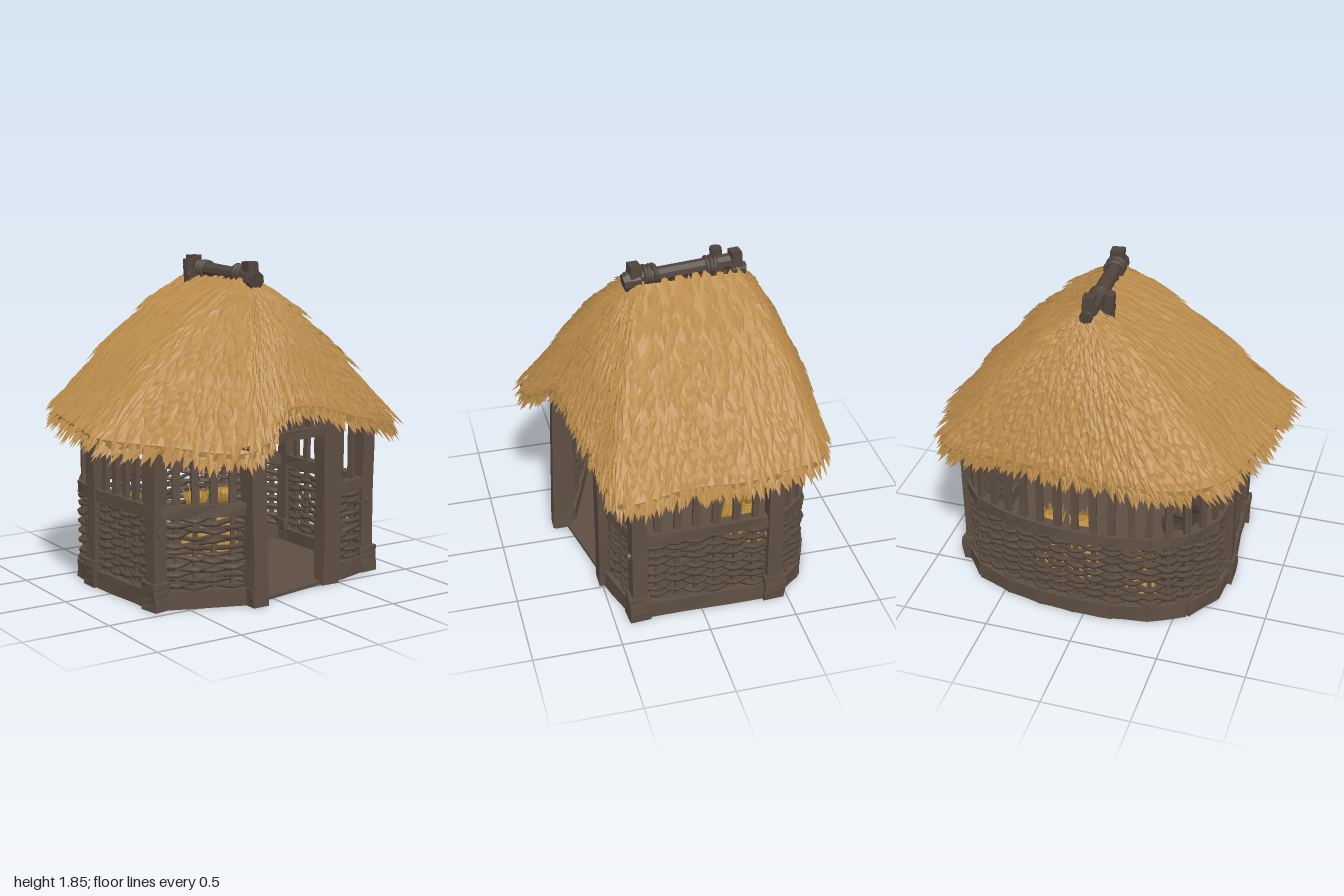
import * as THREE from 'three';
import { mergeGeometries } from 'three/addons/utils/BufferGeometryUtils.js';

const V = (x, y, z) => new THREE.Vector3(x, y, z);

export function createModel() {
  const hut = new THREE.Group();
  hut.name = 'thatchedHut';
  let seed = 7;
  const rand = (a = 0, b = 1) => {
    seed = (seed * 16807) % 2147483647;
    return a + (b - a) * (seed / 2147483647);
  };
  const mat = (name, color, side = THREE.FrontSide) => {
    const m = new THREE.MeshStandardMaterial({ color, side });
    m.name = name;
    return m;
  };
  const wood = mat('timber', 0x5f4f43);
  const darkWood = mat('ridgeWood', 0x51453d);
  const wicker = mat('wicker', 0x5a4b3f);
  const thatch = mat('thatch', 0xb88a4a, THREE.DoubleSide);
  const ceiling = mat('ceiling', 0x54463b, THREE.DoubleSide);
  const straw = mat('straw', 0xc3923f, THREE.DoubleSide);
  const brush = mat('driedBrush', 0x4c3f36, THREE.DoubleSide);

  const add = (name, geo, material, parent = hut) => {
    const m = new THREE.Mesh(geo, material);
    m.name = name;
    parent.add(m);
    return m;
  };
  // Hand-hewn look: nudge vertices by a rule of position, then facet
  const hewn = (geo, amt) => {
    const g = geo.toNonIndexed(), p = g.attributes.position, ph = rand(0, 6);
    for (let i = 0; i < p.count; i++) {
      const x = p.getX(i), y = p.getY(i), z = p.getZ(i);
      p.setXYZ(i, x + amt * Math.sin(y * 31 + z * 17 + ph), y, z + amt * Math.sin(y * 23 + x * 19 + ph * 2));
    }
    g.computeVertexNormals();
    return g;
  };
  // Upright timber
  const post = (name, x, z, y0, y1, w, d = w, angle = 0, parent = hut, material = wood) => {
    const m = add(name, hewn(new THREE.BoxGeometry(w, y1 - y0, d, 1, 4, 1), w * 0.05), material, parent);
    m.position.set(x, (y0 + y1) / 2, z);
    m.rotation.y = angle;
    return m;
  };
  // Timber laid between two points
  const beam = (name, a, b, w, h, parent = hut) => {
    const m = add(name, hewn(new THREE.BoxGeometry(w, h, a.distanceTo(b) + 0.01, 1, 1, 3), 0.004), wood, parent);
    m.position.copy(a).add(b).multiplyScalar(0.5);
    m.lookAt(b);
  };
  const log = (name, a, b, r, material = darkWood) => {
    const m = add(name, hewn(new THREE.CylinderGeometry(r, r * 1.05, a.distanceTo(b), 9, 3), r * 0.08), material);
    m.position.copy(a).add(b).multiplyScalar(0.5);
    m.quaternion.setFromUnitVectors(V(0, 1, 0), b.clone().sub(a).normalize());
  };
  // Leaf-shaped tuft of straw, folded along the middle
  const blade = (out, root, tip, side, up, w, lift) => {
    const foot = root.clone().lerp(tip, 0.4);
    const a = foot.clone().addScaledVector(side, -w), b = foot.clone().addScaledVector(side, w);
    const m = foot.clone().lerp(tip, 0.25).addScaledVector(up, lift);
    for (const q of [root, a, m, root, m, b, a, tip, m, m, tip, b]) out.push(q.x, q.y, q.z);
  };
  const facets = (arr) => {
    const g = new THREE.BufferGeometry();
    g.setAttribute('position', new THREE.Float32BufferAttribute(arr, 3));
    g.computeVertexNormals();
    return g;
  };

  // ---- Walls: sill, woven lower panel, rail, open slats, top plate ----
  const backPts = [[0.79, -0.42], [0.66, -0.58], [0.35, -0.69], [-0.1, -0.72], [-0.48, -0.63], [-0.65, -0.44], [-0.69, -0.2]];
  const wall = (name, pts) => {
    const g = new THREE.Group();
    g.name = name;
    hut.add(g);
    const curve = new THREE.CatmullRomCurve3(pts.map(([x, z]) => V(x, 0, z)));
    const n = Math.round(curve.getLength() / 0.105);
    const at = (u, y) => curve.getPointAt(u).setY(y);
    const out = (u) => { const t = curve.getTangentAt(u); return V(t.z, 0, -t.x); };
    const pieces = pts.length > 2 ? 9 : 1;
    for (let i = 0; i < pieces; i++) {
      const u = i / pieces, v = (i + 1) / pieces;
      beam('sill', at(u, 0.05), at(v, 0.05), 0.085, 0.1, g);
      beam('rail', at(u, 0.535), at(v, 0.535), 0.065, 0.07, g);
      beam('topPlate', at(u, 0.985), at(v, 0.985), 0.05, 0.06, g);
    }
    for (let i = 1; i < n; i++) {
      const p = at(i / n, 0), t = curve.getTangentAt(i / n), ang = Math.atan2(-t.z, t.x);
      post('stake', p.x, p.z, 0.08, 0.52, 0.026, 0.026, ang, g);
      post('slat', p.x, p.z, 0.55, 1.0, rand(0.034, 0.044), 0.025, ang, g).rotation.z = rand(-0.02, 0.02);
    }
    const strands = [];
    for (let k = 0; k < 15; k++) {
      const path = [];
      for (let i = 0; i <= n; i++) {
        const u = i / n;
        path.push(at(u, 0.11 + k * 0.0275 + rand(-0.014, 0.014)).addScaledVector(out(u), ((i + k) % 2 ? 1 : -1) * rand(0.016, 0.026)));
      }
      strands.push(new THREE.TubeGeometry(new THREE.CatmullRomCurve3(path), n * 4, rand(0.012, 0.017), 5));
    }
    add('wovenPanel', mergeGeometries(strands), wicker, g);
  };
  wall('frontLeftPanel', [[-0.64, 0.39], [-0.15, 0.57]]);
  wall('frontRightPanel', [[0.44, 0.46], [0.78, 0.36]]);
  wall('rightWall', [[0.78, 0.36], [0.78, -0.42]]);
  wall('leftWall', [[-0.69, -0.2], [-0.64, 0.39]]);
  wall('backWall', backPts);

  // Floor follows the wall plan
  const back = new THREE.CatmullRomCurve3(backPts.map(([x, z]) => V(x, 0, z))).getSpacedPoints(20).map((p) => new THREE.Vector2(p.x, -p.z));
  const plan = [[-0.64, 0.39], [-0.15, 0.6], [0.44, 0.48], [0.78, 0.36]].map(([x, z]) => new THREE.Vector2(x, -z));
  const floor = new THREE.ExtrudeGeometry(new THREE.Shape([...plan, ...back]), { depth: 0.02, bevelEnabled: false });
  add('floor', floor.rotateX(-Math.PI / 2), wood);

  // Corner posts on blocks, with pegs
  for (const [x, z, a] of [[-0.645, 0.39, 0.1], [-0.69, -0.2, 0], [0.785, 0.36, 0], [0.785, -0.42, 0]]) {
    post('cornerPost', x, z, 0, 1.03, 0.085, 0.085, a);
    post('postBlock', x, z, 0, 0.155, 0.115, 0.12, a);
    log('peg', V(x, 0.43, z), V(x, 0.43, z + 0.06), 0.02, wood);
  }

  // Doorway
  post('doorPostLeft', -0.15, 0.595, 0, 1.06, 0.09, 0.12).rotation.x = -0.03;
  post('doorFootLeft', -0.15, 0.62, 0, 0.1, 0.1, 0.1);
  post('doorPostRight', 0.44, 0.475, 0, 1.08, 0.11, 0.09);
  beam('lintel', V(-0.13, 0.9, 0.56), V(0.44, 0.9, 0.47), 0.06, 0.055);
  beam('upperLintel', V(-0.13, 1.07, 0.55), V(0.44, 1.07, 0.46), 0.05, 0.05);
  for (let i = 1; i < 8; i++) post('transomSlat', -0.13 + i * 0.071, 0.56 - i * 0.011, 0.92, 1.08, 0.03, 0.025);
  beam('frontRafter', V(-0.13, 1.02, 0.5), V(-0.33, 0.89, 0.76), 0.06, 0.07);
  beam('leftRafter', V(-0.6, 1.03, 0.36), V(-0.86, 0.89, 0.33), 0.06, 0.06);

  // ---- Thatched roof ----
  const eave = new THREE.CatmullRomCurve3([
    [-0.48, 0.97, -0.8], [0, 0.98, -0.81], [0.45, 0.96, -0.75], [0.84, 0.93, -0.67], [0.91, 0.92, -0.42],
    [0.95, 0.92, -0.22], [0.92, 0.91, 0.1], [0.92, 0.88, 0.48], [0.6, 0.95, 0.55], [0.2, 1.06, 0.63], [0, 1.05, 0.67],
    [-0.17, 0.92, 0.77], [-0.32, 0.88, 0.8], [-0.47, 0.88, 0.71], [-0.62, 0.9, 0.57], [-0.94, 0.94, 0.31],
    [-0.91, 0.95, 0], [-0.85, 0.95, -0.3], [-0.75, 0.96, -0.62],
  ].map((p) => V(...p)), true);
  const N = 160, rim = eave.getSpacedPoints(N);
  const rimAt = (u) => {
    const f = (((u % 1) + 1) % 1) * N, i = Math.floor(f);
    return rim[i].clone().lerp(rim[(i + 1) % N], f - i);
  };
  // Point on the slope: u runs round the eave, t from ridge to eave
  const slope = (u, t, lift = 0) => {
    const e = rimAt(u);
    const r = V(0.08 + 0.05 * e.x, 1.735, THREE.MathUtils.clamp(e.z * 0.55 - 0.08, -0.38, 0.19));
    const p = r.lerp(e, t);
    p.y += 0.07 * Math.sin(Math.PI * Math.min(t, 1)) + lift;
    return p;
  };
  const loft = (rings) => {
    const out = [];
    for (let j = 0; j < rings.length - 1; j++) {
      for (let i = 0; i < N; i++) {
        const q = [[i, j], [i + 1, j], [i + 1, j + 1], [i, j + 1]].map(([a, b]) => slope(a / N, ...rings[b]));
        for (const k of [0, 2, 1, 0, 3, 2]) out.push(q[k].x, q[k].y, q[k].z);
      }
    }
    return facets(out);
  };
  add('roofShell', loft([[0, 0], [0.15, 0.004], [0.33, 0.01], [0.5, 0.004], [0.67, 0.01], [0.84, 0.004], [0.99, 0.006], [0.98, -0.05], [0.86, -0.065]]), thatch);
  add('roofLining', loft([[0.86, -0.065], [0.6, -0.07], [0.3, -0.07], [0.03, -0.05]]), ceiling);

  // Overlapping tufts in three ragged tiers, then a fringe under the eave
  const tufts = [];
  const tuftRow = (t0, len, lift, drop, ragged) => {
    const count = Math.round(42 + 118 * t0);
    for (let i = 0; i < count; i++) {
      const u = (i + rand(-0.5, 0.5)) / count;
      const t = t0 + ragged * (rand(-0.02, 0.02) + 0.012 * Math.sin(u * 75));
      const l = len * rand(0.75, 1.25);
      const root = slope(u, t - l * 0.4, drop);
      const tip = slope(u + rand(-0.008, 0.008), t + l * 0.6, drop + lift * rand(0.3, 1.2));
      const side = slope(u + 0.004, t).sub(slope(u - 0.004, t)).normalize();
      const up = tip.clone().sub(root).cross(side).normalize();
      if (up.y < 0) up.negate();
      blade(tufts, root, tip, side, up, rand(0.018, 0.032), 0.009);
    }
  };
  for (let tier = 0; tier < 3; tier++) {
    for (let r = 0; r < 7; r++) {
      const s = (r + 0.6) / 7;
      tuftRow((tier + s) / 3 - 0.015, 0.15, 0.008 + 0.022 * s, 0.004 + 0.022 * s, tier === 2 ? 0.5 : 1);
    }
  }
  for (const drop of [-0.015, -0.04, -0.06]) tuftRow(0.965, 0.11, -0.012, drop, 0.4);
  add('thatchTufts', facets(tufts), thatch);

  // ---- Ridge pole, stubs and lashings ----
  log('ridgePole', V(0.055, 1.775, -0.4), V(0.085, 1.755, 0.25), 0.042);
  log('ridgeEndFront', V(0.085, 1.75, 0.17), V(0.09, 1.735, 0.26), 0.052);
  log('ridgeEndBack', V(0.075, 1.74, -0.34), V(0.07, 1.73, -0.425), 0.036);
  post('ridgeStubFront', 0.085, 0.2, 1.67, 1.84, 0.075, 0.06, 0.1, hut, darkWood);
  post('ridgeStubBack', 0.07, -0.37, 1.68, 1.845, 0.065, 0.06, 0.15, hut, darkWood);
  log('ridgeStubSide', V(-0.01, 1.68, -0.285), V(-0.015, 1.83, -0.285), 0.035);
  log('ridgeCrossPeg', V(-0.04, 1.74, -0.29), V(0.12, 1.74, -0.27), 0.03);
  for (const z of [0.14, 0.115, 0.09, -0.21, -0.235, -0.26]) {
    const ring = add('lashing', new THREE.TorusGeometry(0.048, 0.013, 6, 14), darkWood);
    ring.position.set(0.07 + z * 0.045, 1.765, z);
    ring.rotation.y = rand(-0.2, 0.2);
  }

  // ---- Tied bundles standing on the floor ----
  const bundle = (name, x, z, h, material) => {
    const g = new THREE.Group();
    g.name = name;
    g.position.set(x, 0.02, z);
    hut.add(g);
    const prof = [[0.085, 0], [0.075, 0.3], [0.04, 0.68], [0.045, 0.75], [0.065, 0.92], [0.02, 0.93]];
    add('bundleCore', new THREE.LatheGeometry(prof.map(([r, y]) => new THREE.Vector2(r, y * h)), 14), material, g);
    const arr = [];
    const rad = (y) => (y < 0.68 ? 0.042 + 0.055 * (1 - y / 0.68) : 0.042 + 0.13 * (y - 0.68));
    for (let i = 0; i < 110; i++) {
      const a = i * 2.39996, low = i % 3 > 0;
      const dir = V(Math.cos(a), 0, Math.sin(a)), side = V(-dir.z, 0, dir.x);
      const y0 = low ? rand(0.35, 0.7) : 0.68, y1 = low ? Math.max(0, y0 - rand(0.35, 0.6)) : rand(0.9, 1.02);
      blade(arr, dir.clone().multiplyScalar(rad(y0)).setY(y0 * h), dir.clone().multiplyScalar(rad(y1) + 0.004).setY(y1 * h), side, dir, 0.009, 0.008);
    }
    add('bundleStalks', facets(arr), material, g);
    const tie = add('bundleTie', new THREE.TorusGeometry(0.045, 0.009, 5, 14).rotateX(Math.PI / 2), material, g);
    tie.position.y = 0.69 * h;
  };
  for (const [x, z] of [[0.11, -0.42], [0.3, -0.42], [-0.28, -0.57]]) bundle('strawSheaf', x, z, 0.41, straw);
  for (const [x, z] of [[-0.48, -0.06], [-0.42, -0.34]]) bundle('brushBundle', x, z, 0.45, brush);
  return hut;
}
